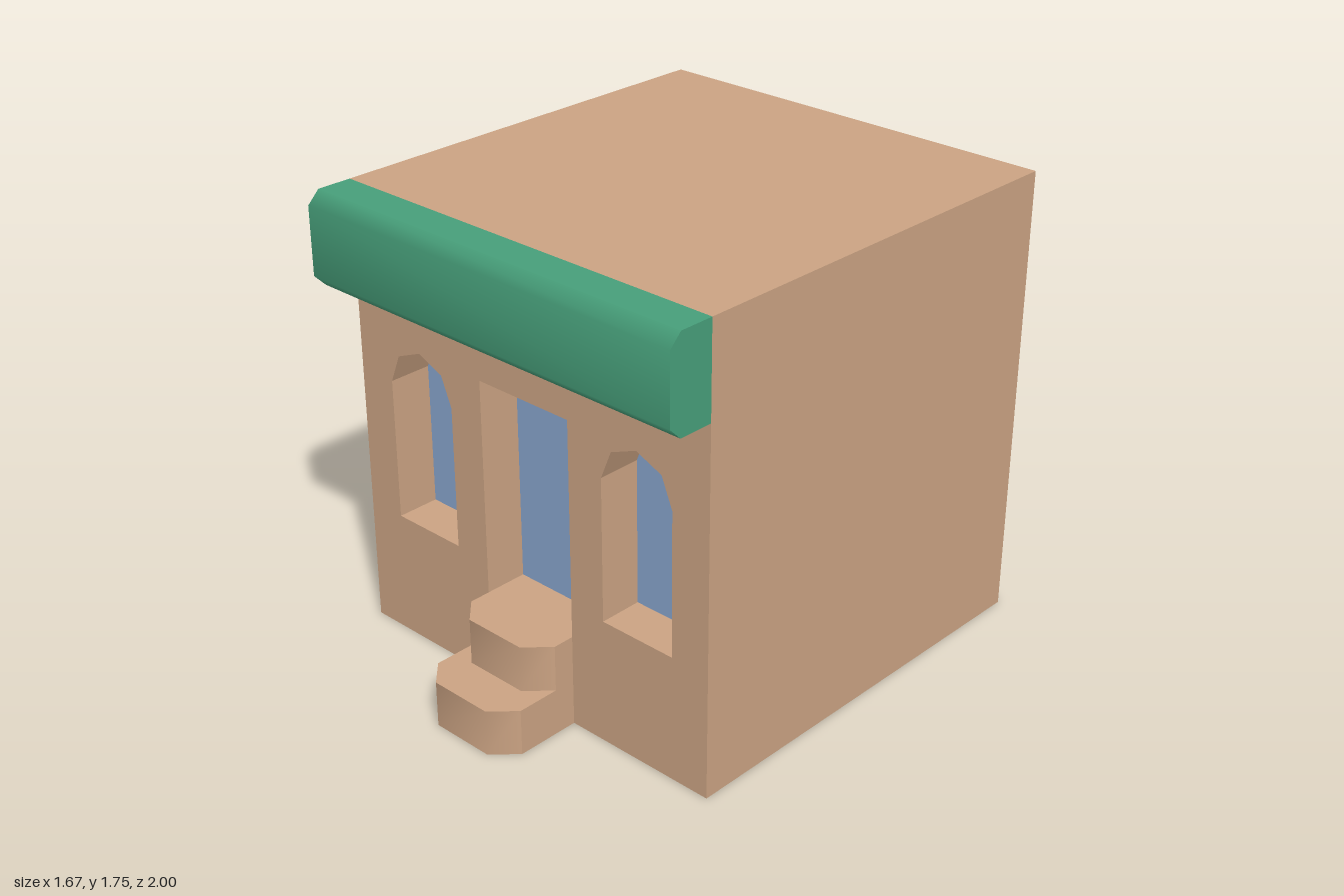
import * as THREE from 'three';
import { mergeGeometries } from 'three/addons/utils/BufferGeometryUtils.js';

const HALF_W = 0.833, HEIGHT = 1.75, BACK = -1, FRONT = 0.667, RECESS = 0.5;

const material = (name, color) => {
  const m = new THREE.MeshStandardMaterial({ color });
  m.name = name;
  return m;
};

// Plain non-indexed geometry holding only positions and normals
function plain(geometry) {
  const g = geometry.index ? geometry.toNonIndexed() : geometry;
  g.deleteAttribute('uv');
  return g;
}

// Band of quads along a run of points, from z0 to z1
function ribbon(points, z0, z1, smooth) {
  const position = [], index = [];
  points.forEach(([x, y], i) => {
    position.push(x, y, z0, x, y, z1);
    const a = i * 2;
    if (i < points.length - 1) index.push(a, a + 2, a + 3, a, a + 3, a + 1);
  });
  let g = new THREE.BufferGeometry();
  g.setAttribute('position', new THREE.Float32BufferAttribute(position, 3));
  g.setIndex(index);
  if (!smooth) g = g.toNonIndexed();
  g.computeVertexNormals();
  return plain(g);
}

const toShape = (points) => new THREE.Shape(points.map(([x, y]) => new THREE.Vector2(x, y)));

// Solid with two chamfered outer corners, its three outer faces shaded as one curve
function chamferedPrism(halfWidth, depth, chamfer, length) {
  const w = halfWidth, d = depth, c = chamfer;
  const p = [[-w, 0], [w, 0], [w, d - c], [w - c, d], [c - w, d], [-w, d - c]];
  const near = plain(new THREE.ShapeGeometry(toShape(p))).translate(0, 0, length);
  const far = plain(new THREE.ShapeGeometry(toShape(p))).rotateY(Math.PI);
  return mergeGeometries([
    near, far,
    ribbon([p[5], p[0], p[1], p[2]], 0, length, false),
    ribbon(p.slice(2), 0, length, true),
  ]);
}

// Window outline: straight sides under a four-sided arch
function archOutline(cx, r, bottom, spring) {
  const points = [[cx - r, bottom], [cx + r, bottom]];
  for (let i = 0; i <= 4; i++) {
    const a = (i * Math.PI) / 4;
    points.push([cx + r * Math.cos(a), spring + r * Math.sin(a)]);
  }
  return points;
}

export function createModel() {
  const group = new THREE.Group();
  const wall = material('wall tan', 0xcba383);
  const green = material('awning green', 0x479f7a);
  const glass = material('glass blue', 0x87a4cc);
  const add = (name, geometry, mat) => {
    const mesh = new THREE.Mesh(geometry, mat);
    mesh.name = name;
    group.add(mesh);
    return mesh;
  };

  const openings = {
    door: [[-0.21, 0.356], [0.21, 0.356], [0.21, 1.19], [-0.21, 1.19]],
    leftWindow: archOutline(0.518, 0.157, 0.485, 1.033),
    rightWindow: archOutline(-0.518, 0.157, 0.485, 1.033),
  };

  // Building shell: a box whose front is replaced by a wall with openings
  const box = new THREE.BoxGeometry(2 * HALF_W, HEIGHT, FRONT - BACK);
  box.translate(0, HEIGHT / 2, (FRONT + BACK) / 2);
  const index = Array.from(box.index.array);
  index.splice(24, 6);
  box.setIndex(index);
  box.clearGroups();
  const facade = toShape([[-HALF_W, 0], [HALF_W, 0], [HALF_W, HEIGHT], [-HALF_W, HEIGHT]]);
  const parts = [plain(box)];
  for (const outline of Object.values(openings)) {
    facade.holes.push(toShape(outline));
    parts.push(ribbon([...outline, outline[0]], FRONT, RECESS, false));
  }
  parts.push(plain(new THREE.ShapeGeometry(facade)).translate(0, 0, FRONT));
  add('building', mergeGeometries(parts), wall);

  // Recessed panes
  for (const [name, outline] of Object.entries(openings)) {
    add(name, new THREE.ShapeGeometry(toShape(outline)).translate(0, 0, RECESS), glass);
  }

  // Two steps up to the door
  const rise = 0.178;
  [['lowerStep', 0.333, rise], ['upperStep', 0.167, 2 * rise]].forEach(([name, depth, top]) => {
    const step = chamferedPrism(0.21, depth, 0.084, rise);
    step.rotateX(Math.PI / 2).translate(0, top, FRONT);
    add(name, step, wall);
  });

  // Awning across the top of the front
  const awning = chamferedPrism(0.176, 0.182, 0.047, 2 * HALF_W);
  awning.applyMatrix4(new THREE.Matrix4().makeBasis(
    new THREE.Vector3(0, 1, 0), new THREE.Vector3(0, 0, 1), new THREE.Vector3(1, 0, 0)));
  awning.translate(-HALF_W, HEIGHT - 0.176, FRONT);
  add('awning', awning, green);

  return group;
}
